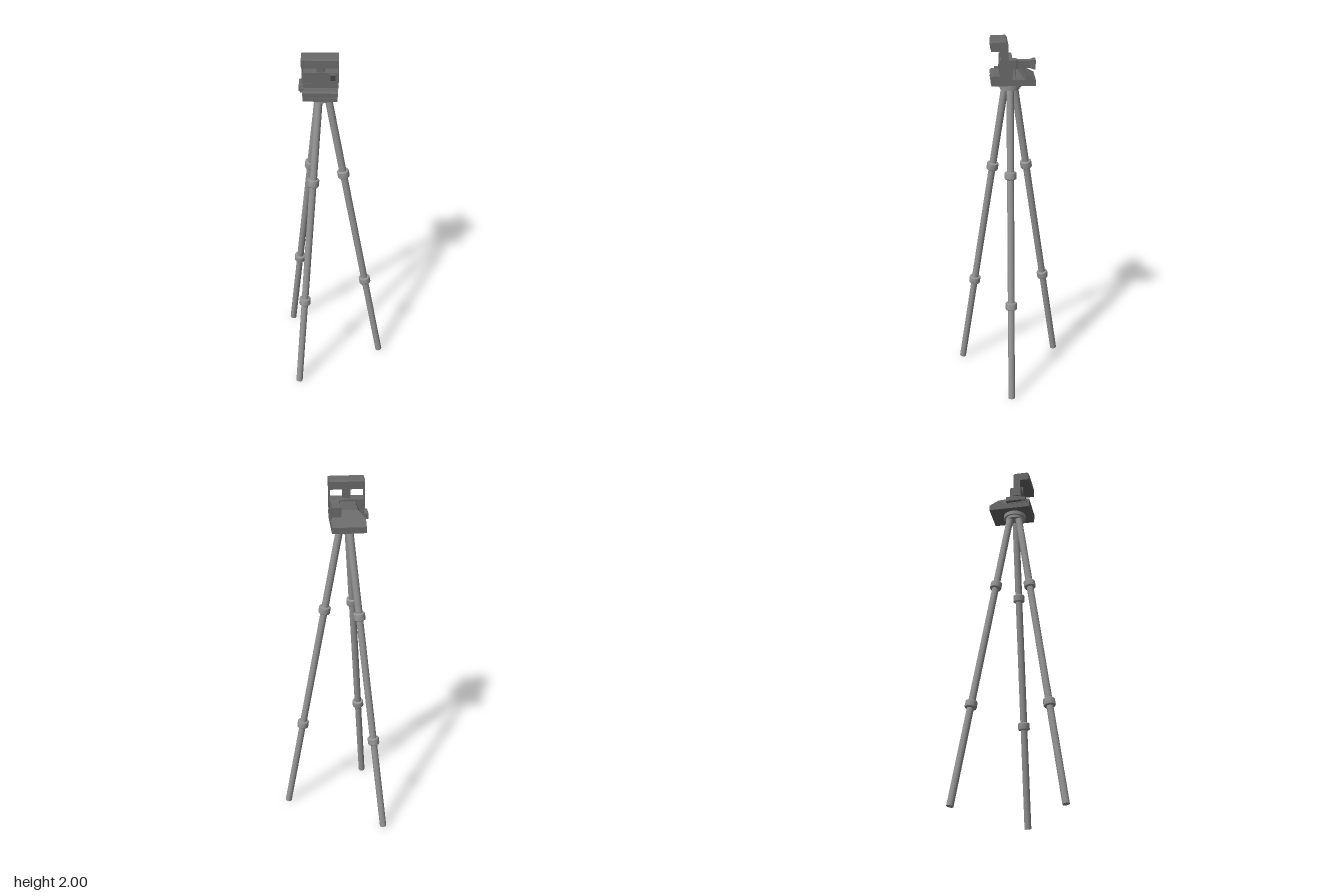
import * as THREE from 'three';

const tripodGrey = new THREE.MeshStandardMaterial({ color: 0x969696 });
const cameraGrey = new THREE.MeshStandardMaterial({ color: 0x6a6a6a, flatShading: true });
const darkGlass = new THREE.MeshStandardMaterial({ color: 0x444448, flatShading: true });
const V = (x, y, z) => new THREE.Vector3(x, y, z);
const V2 = ([x, y]) => new THREE.Vector2(x, y);

function add(parent, name, geometry, material = cameraGrey) {
  const mesh = new THREE.Mesh(geometry, material);
  mesh.name = name;
  parent.add(mesh);
  return mesh;
}

function box(parent, name, [x0, x1], [y0, y1], [z0, z1], material = cameraGrey) {
  const mesh = add(parent, name, new THREE.BoxGeometry(x1 - x0, y1 - y0, z1 - z0), material);
  mesh.position.set((x0 + x1) / 2, (y0 + y1) / 2, (z0 + z1) / 2);
}

// Side profile of [z, y] points, extruded across x
function across(parent, name, profile, [x0, x1]) {
  const geometry = new THREE.ExtrudeGeometry(new THREE.Shape(profile.map(V2)), { depth: x1 - x0, bevelEnabled: false });
  geometry.rotateY(-Math.PI / 2).translate(x1, 0, 0);
  add(parent, name, geometry);
}

// Loft through four-sided sections, from back to front:
// [z, bottom y, top y, bottom x range, top x range]
function loft(parent, name, sections) {
  const points = [], index = [];
  for (const [z, y0, y1, [a, b], [c, d]] of sections)
    points.push(a, y0, z, b, y0, z, d, y1, z, c, y1, z);
  for (let s = 0; s < sections.length - 1; s++)
    for (let i = 0; i < 4; i++) {
      const a = s * 4 + i, b = s * 4 + (i + 1) % 4;
      index.push(a, b, b + 4, a, b + 4, a + 4);
    }
  const e = (sections.length - 1) * 4;
  index.push(0, 3, 2, 0, 2, 1, e, e + 1, e + 2, e, e + 2, e + 3);
  const geometry = new THREE.BufferGeometry();
  geometry.setAttribute('position', new THREE.Float32BufferAttribute(points, 3));
  geometry.setIndex(index);
  geometry.computeVertexNormals();
  add(parent, name, geometry);
}

// Telescopic leg with two clamp collars
function leg(parent, foot, top) {
  const group = new THREE.Group();
  group.name = 'leg';
  const dir = top.clone().sub(foot).normalize();
  const turn = new THREE.Quaternion().setFromUnitVectors(V(0, 1, 0), dir);
  const place = (mesh, y) => {
    mesh.position.copy(foot).addScaledVector(dir, (y - foot.y) / dir.y);
    mesh.quaternion.copy(turn);
  };
  const stops = [foot.y, 0.552, 1.283, top.y];
  ['lowerTube', 'middleTube', 'upperTube'].forEach((name, i) => {
    const length = (stops[i + 1] - stops[i]) / dir.y;
    const r = 0.0185 + i * 0.0005;
    place(add(group, name, new THREE.CylinderGeometry(r, r, length, 24), tripodGrey), (stops[i] + stops[i + 1]) / 2);
  });
  const profile = [[0.016, -0.021], [0.026, -0.021], [0.03, -0.019], [0.032, -0.015],
    [0.032, 0.015], [0.03, 0.019], [0.026, 0.021], [0.016, 0.021]];
  for (const y of stops.slice(1, 3))
    place(add(group, 'legCollar', new THREE.LatheGeometry(profile.map(V2), 28), tripodGrey), y);
  parent.add(group);
}

function buildTripod() {
  const tripod = new THREE.Group();
  tripod.name = 'tripod';
  leg(tripod, V(0.27, 0.004, 0.007), V(-0.034, 1.745, 0));
  leg(tripod, V(-0.27, 0.004, -0.283), V(-0.083, 1.745, -0.025));
  leg(tripod, V(-0.205, 0.004, 0.283), V(-0.08, 1.745, 0.025));
  // Round head plate in two tiers
  const tiers = [['headPlate', 0.065, 1.75, 1.772], ['headHub', 0.053, 1.735, 1.75]];
  for (const [name, r, y0, y1] of tiers) {
    const disc = add(tripod, name, new THREE.CylinderGeometry(r, r * 0.97, y1 - y0, 40), tripodGrey);
    disc.position.set(-0.065, (y0 + y1) / 2, 0);
  }
  return tripod;
}

function buildCamera() {
  const camera = new THREE.Group();
  camera.name = 'camera';
  const full = [-0.16, 0.016];

  // Film base with raised front lip
  box(camera, 'base', full, [1.77, 1.802], [-0.132, 0.1]);
  across(camera, 'frontLip', [[-0.01, 1.8], [0.103, 1.8], [0.103, 1.817], [0.09, 1.823], [-0.01, 1.823]], [-0.162, 0.018]);
  box(camera, 'filmSlot', [-0.15, 0.005], [1.783, 1.791], [0.098, 0.103]);

  // Sloping rear housing, narrowing and steepening towards the top
  loft(camera, 'rearHousing', [
    [-0.132, 1.795, 1.801, full, full],
    [-0.08, 1.795, 1.829, full, full],
    [-0.03, 1.795, 1.858, full, [-0.125, -0.025]],
    [-0.01, 1.795, 1.902, full, [-0.108, -0.038]],
  ]);

  // Upright lens panel
  box(camera, 'lensPanel', [-0.158, 0.016], [1.82, 1.907], [-0.012, 0.055]);
  box(camera, 'panelTrim', [-0.145, -0.105], [1.843, 1.847], [0.05, 0.059]);
  const frame = new THREE.Shape([[-0.028, 1.858], [0.012, 1.858], [0.012, 1.9], [-0.028, 1.9]].map(V2));
  frame.holes.push(new THREE.Path([[-0.021, 1.865], [-0.021, 1.893], [0.005, 1.893], [0.005, 1.865]].map(V2)));
  add(camera, 'finderWindowFrame', new THREE.ExtrudeGeometry(frame, { depth: 0.007, bevelEnabled: false })).position.z = 0.054;
  box(camera, 'finderWindow', [-0.022, 0.006], [1.864, 1.894], [0.05, 0.057], darkGlass);

  // Flash bar on a centre post and thin side plates
  across(camera, 'flashBar', [[0.1, 1.953], [0.1, 1.994], [0.094, 2], [0.02, 2], [0.012, 1.993], [0.012, 1.953]], [-0.164, 0.022]);
  box(camera, 'flashWindow', [-0.15, 0.008], [1.961, 1.991], [0.097, 0.103]);
  box(camera, 'flashPost', [-0.09, -0.049], [1.9, 1.956], [0.012, 0.052]);
  for (const x of [-0.164, 0.016])
    box(camera, 'flashSidePlate', [x, x + 0.006], [1.85, 1.956], [0.012, 0.05]);

  // Viewfinder tube with flared eyepiece
  const finder = (z, r) => [z, 1.883 - r, 1.883 + r, [-0.006 - r, -0.006 + r], [-0.006 - r, -0.006 + r]];
  loft(camera, 'viewfinder', [finder(-0.13, 0.025), finder(-0.12, 0.025), finder(-0.1, 0.019), finder(-0.035, 0.021), finder(-0.03, 0.024), finder(0.01, 0.024)]);

  // Side latch, stepped
  box(camera, 'sideLatch', [-0.18, -0.155], [1.807, 1.833], [-0.03, 0.055]);
  box(camera, 'sideLatchTab', [-0.173, -0.155], [1.81, 1.83], [0.05, 0.08]);
  return camera;
}

export function createModel() {
  const model = new THREE.Group();
  model.name = 'cameraOnTripod';
  model.add(buildTripod(), buildCamera());
  return model;
}
